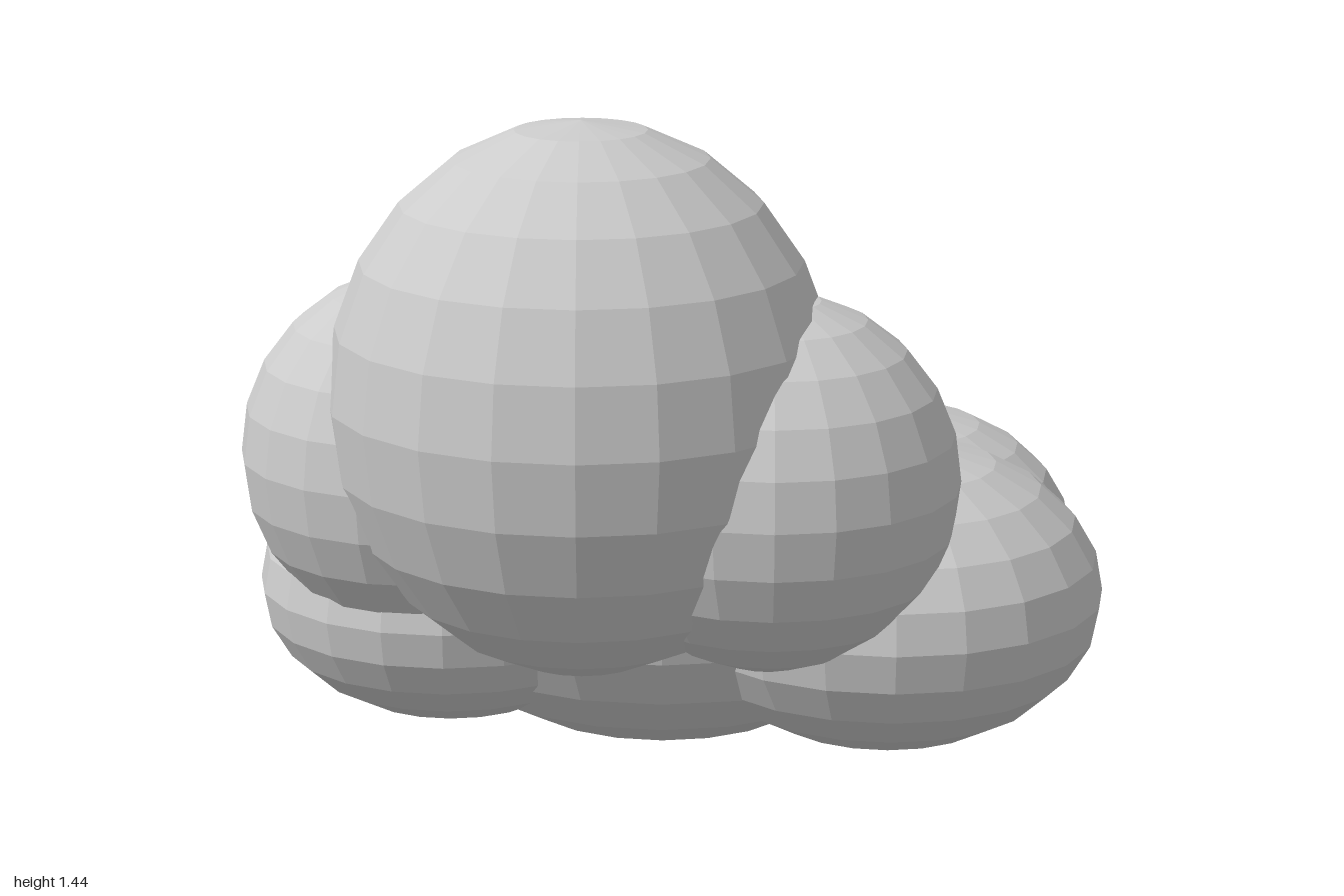
import * as THREE from 'three';

export function createModel() {
  const group = new THREE.Group();
  const material = new THREE.MeshStandardMaterial({ color: 0xcccccc, flatShading: true });
  const ball = new THREE.SphereGeometry(1, 20, 12);

  // A faceted ellipsoid, round from above, with its own height ratio
  function puff(name, radius, heightRatio, x, y, z) {
    const mesh = new THREE.Mesh(ball, material);
    mesh.name = name;
    mesh.scale.set(radius, radius * heightRatio, radius);
    mesh.position.set(x, y, z);
    group.add(mesh);
  }

  // Flattened core and tall front puff
  puff('corePuff', 0.63, 0.7, 0, 0.445, -0.16);
  puff('topPuff', 0.52, 1.1, 0, 0.87, 0.37);

  // Round puffs on both sides of the top one
  for (const side of [1, -1]) {
    puff(side > 0 ? 'leftShoulderPuff' : 'rightShoulderPuff', 0.39, 1, side * 0.375, 0.705, 0.285);
  }

  // Flattened puffs around the base
  puff('leftBasePuff', 0.465, 0.7, 0.53, 0.39, -0.055);
  puff('rightBasePuff', 0.465, 0.7, -0.53, 0.39, -0.32);
  puff('backBasePuff', 0.415, 0.7, 0.42, 0.39, -0.475);
  puff('frontBasePuff', 0.415, 0.7, -0.37, 0.39, 0.155);

  return group;
}
